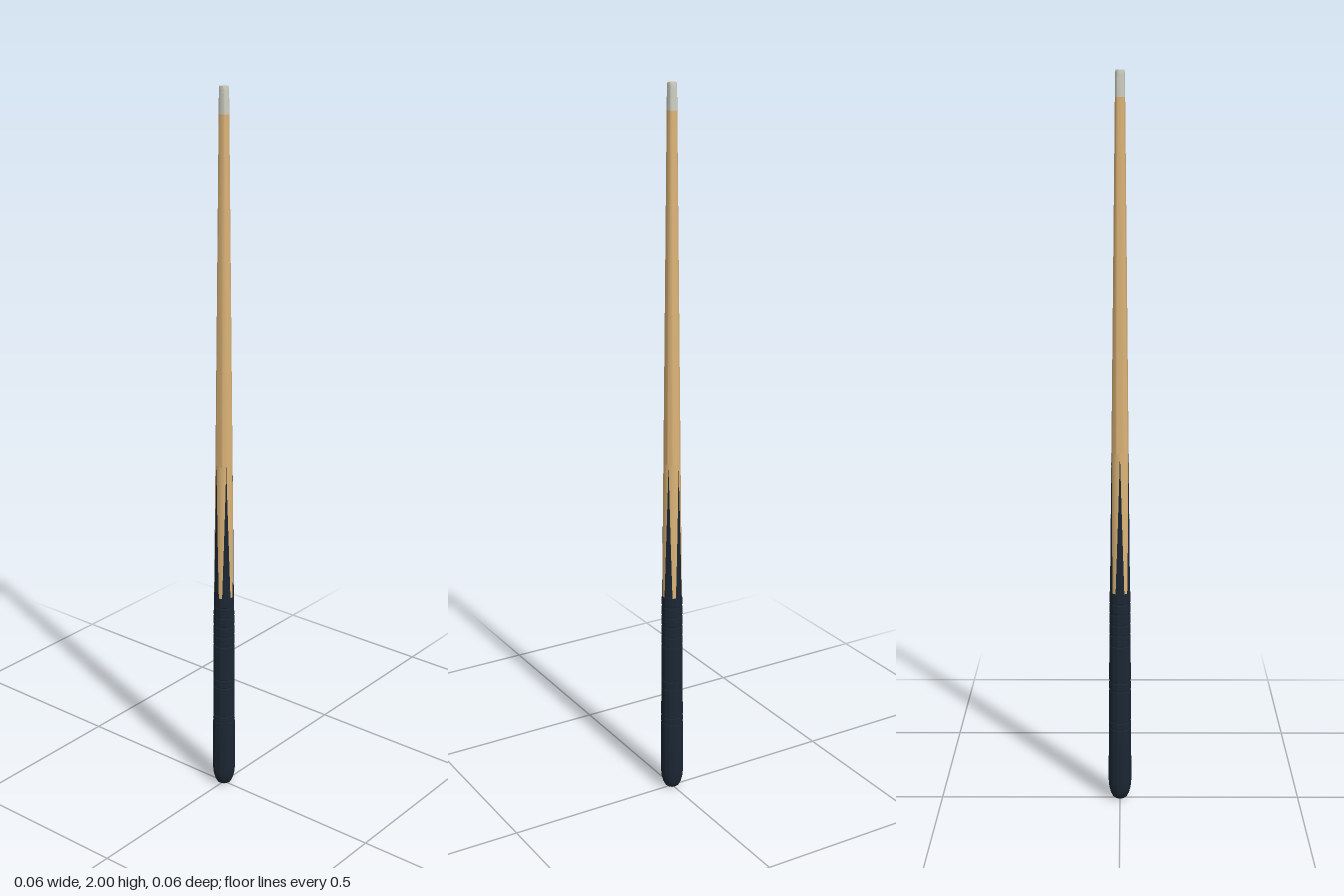
import * as THREE from 'three';
import { ParametricGeometry } from 'three/addons/geometries/ParametricGeometry.js';
import { toCreasedNormals } from 'three/addons/utils/BufferGeometryUtils.js';

const mat = (color) => new THREE.MeshStandardMaterial({ color });
const wood = mat(0xdcb478), dark = mat(0x1c2733), ivory = mat(0xcfcfc4);

const BASE = 0.6, PEAK = 0.99, TOP = 1.93, POINTS = 5;
const STEP = (Math.PI * 2) / POINTS;

// Taper of the shaft from the handle to the ferrule
const radiusAt = (y) => THREE.MathUtils.mapLinear(y, BASE, TOP, 0.0275, 0.0135);

// Curved strip on the taper, with a half angle that changes with height
function strip(centre, halfAt) {
  return new ParametricGeometry((u, v, p) => {
    const y = THREE.MathUtils.lerp(BASE, PEAK, v);
    const a = centre + (u * 2 - 1) * halfAt(v);
    p.set(Math.sin(a) * radiusAt(y), y, Math.cos(a) * radiusAt(y));
  }, 8, 10);
}

function turned(points) {
  const profile = points.map(([r, y]) => new THREE.Vector2(r, y));
  return toCreasedNormals(new THREE.LatheGeometry(profile, 32), 0.6);
}

export function createModel() {
  const model = new THREE.Group();
  const add = (name, geometry, material) => {
    const mesh = new THREE.Mesh(geometry, material);
    mesh.name = name;
    model.add(mesh);
  };

  // Handle with a rounded end and fine grooves
  const handle = [[0, 0], [0.013, 0.001], [0.02, 0.006], [0.026, 0.018], [0.03, 0.034], [0.032, 0.055]];
  const handleRadius = (y) => THREE.MathUtils.mapLinear(y, 0.055, BASE, 0.032, 0.0285);
  for (const y of [0.21, 0.23, 0.32, 0.345, 0.45, 0.48, 0.51, 0.54, 0.57]) {
    const r = handleRadius(y);
    handle.push([r, y - 0.003], [r - 0.001, y - 0.002], [r - 0.001, y + 0.002], [r, y + 0.003]);
  }
  handle.push([0.0285, BASE], [0, BASE]);
  add('handle', turned(handle), dark);

  // Inlaid dark points alternating with wood between them
  const darkHalf = (v) => THREE.MathUtils.lerp(STEP * 0.36, 0.002, v);
  for (let i = 0; i < POINTS; i++) {
    add('woodInlay', strip(i * STEP, (v) => STEP / 2 - darkHalf(v)), wood);
    add('darkPoint', strip((i + 0.5) * STEP, darkHalf), dark);
  }

  // Plain upper shaft
  add('shaft', turned([[radiusAt(PEAK), PEAK], [0.0135, TOP], [0, TOP]]), wood);

  // Ferrule and slightly narrower tip
  add('ferrule', turned([[0.0135, TOP], [0.013, 1.985], [0, 1.985]]), ivory);
  add('tip', turned([[0.0125, 1.985], [0.0125, 1.993], [0.0115, 2], [0, 2]]), ivory);

  return model;
}
